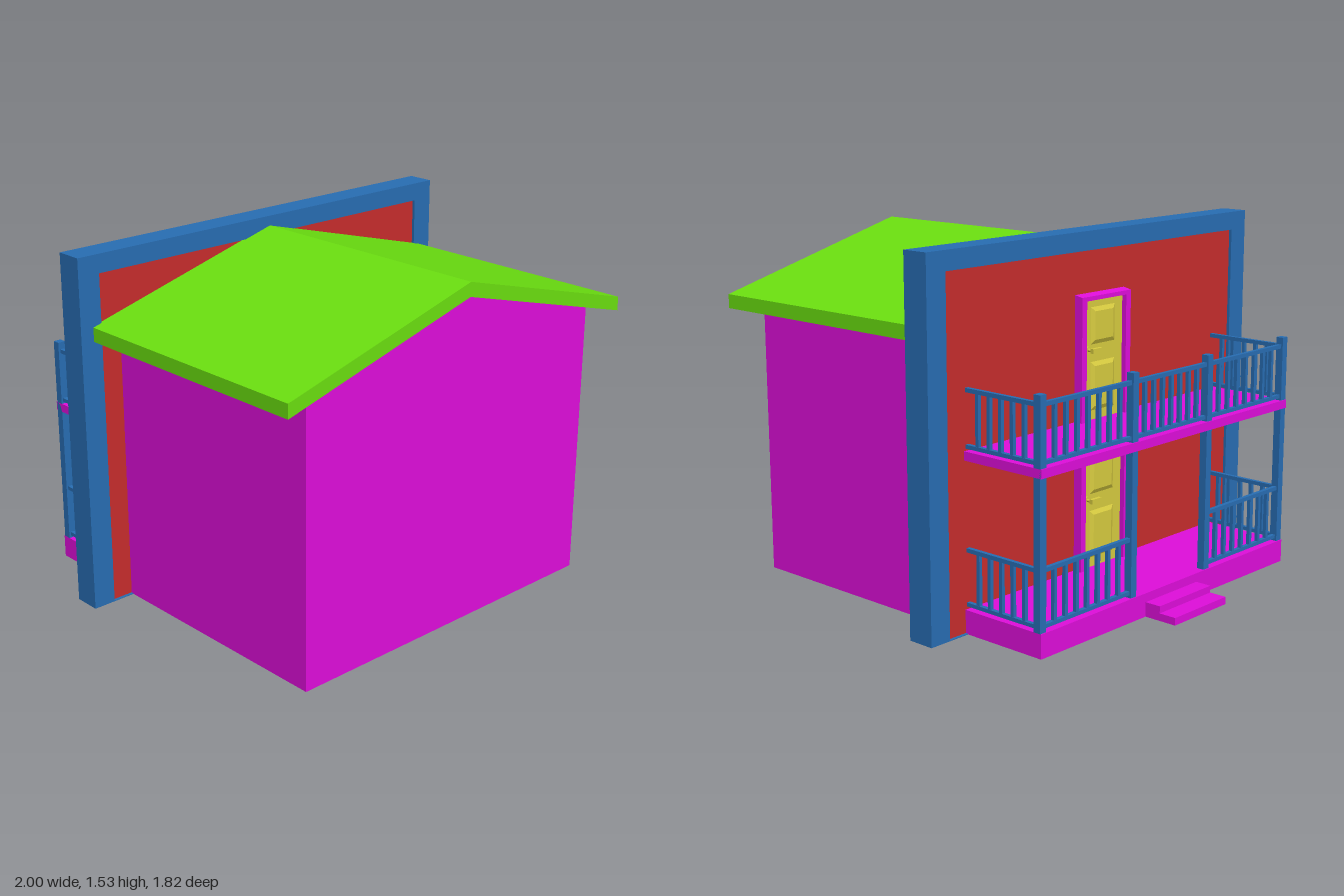
import * as THREE from 'three';

const mat = (color) => new THREE.MeshStandardMaterial({ color, flatShading: true });
const MAGENTA = mat(0xe00edc), BLUE = mat(0x286eb4), RED = mat(0xc82d2d);
const GREEN = mat(0x6be010), YELLOW = mat(0xd8cc40);

// Box given by its minimum and maximum on each axis
function box(parent, name, material, [x0, x1], [y0, y1], [z0, z1]) {
  const mesh = new THREE.Mesh(new THREE.BoxGeometry(x1 - x0, y1 - y0, z1 - z0), material);
  mesh.position.set((x0 + x1) / 2, (y0 + y1) / 2, (z0 + z1) / 2);
  mesh.name = name;
  parent.add(mesh);
  return mesh;
}

// Outline in x, y pushed from z0 to z1
function prism(parent, name, material, points, z0, z1) {
  const shape = new THREE.Shape(points.map(([x, y]) => new THREE.Vector2(x, y)));
  const geometry = new THREE.ExtrudeGeometry(shape, { depth: z1 - z0, bevelEnabled: false });
  const mesh = new THREE.Mesh(geometry, material);
  mesh.position.z = z0;
  mesh.name = name;
  parent.add(mesh);
  return mesh;
}

// Straight railing run between two points on the floor, with evenly spaced balusters
function railing(parent, name, a, b, floor, count) {
  const run = new THREE.Group();
  run.name = name;
  const dx = b[0] - a[0], dz = b[1] - a[1], length = Math.hypot(dx, dz);
  const half = length / 2;
  box(run, 'bottomRail', BLUE, [-half, half], [0.012, 0.028], [-0.009, 0.009]);
  box(run, 'topRail', BLUE, [-half, half], [0.235, 0.252], [-0.009, 0.009]);
  for (let i = 1; i <= count; i++) {
    const x = -half + length * i / (count + 1);
    box(run, 'baluster', BLUE, [x - 0.008, x + 0.008], [0.028, 0.235], [-0.008, 0.008]);
  }
  run.position.set((a[0] + b[0]) / 2, floor, (a[1] + b[1]) / 2);
  run.rotation.y = -Math.atan2(dz, dx);
  parent.add(run);
}

// Raised door panel with sloping edges, facing -z
function doorPanel(parent, y0, y1) {
  const w = 0.155, h = y1 - y0;
  const geometry = new THREE.BoxGeometry(w, h, 0.01);
  const p = geometry.attributes.position;
  for (let i = 0; i < p.count; i++) {
    if (p.getZ(i) < 0) {
      p.setX(i, p.getX(i) * (w - 0.04) / w);
      p.setY(i, p.getY(i) * (h - 0.04) / h);
    }
  }
  geometry.computeVertexNormals();
  const mesh = new THREE.Mesh(geometry, YELLOW);
  mesh.position.set(0, (y0 + y1) / 2, -0.379);
  mesh.name = 'doorPanel';
  parent.add(mesh);
}

// Door with casing, panels and lever handle
function door(parent, floor) {
  const unit = new THREE.Group();
  unit.name = 'door';
  unit.position.y = floor;
  box(unit, 'doorLeaf', YELLOW, [-0.13, 0.13], [0, 0.515], [-0.375, -0.345]);
  doorPanel(unit, 0.04, 0.25);
  doorPanel(unit, 0.32, 0.48);
  for (const s of [-1, 1]) {
    const [a, b] = [s * 0.125, s * 0.155].sort((m, n) => m - n);
    box(unit, 'doorJamb', MAGENTA, [a, b], [0, 0.515], [-0.397, -0.345]);
  }
  const head = box(unit, 'doorHead', MAGENTA, [-0.155, 0.155], [0.51, 0.538], [-0.397, -0.345]);
  // Chamfer the upper outer edge of the head
  const p = head.geometry.attributes.position;
  for (let i = 0; i < p.count; i++) {
    if (p.getZ(i) < 0 && p.getY(i) > 0) p.setY(i, p.getY(i) - 0.01);
  }
  head.geometry.computeVertexNormals();

  const rose = new THREE.Mesh(new THREE.CylinderGeometry(0.015, 0.015, 0.012, 16), YELLOW);
  rose.rotation.x = Math.PI / 2;
  rose.position.set(0.1, 0.303, -0.379);
  rose.name = 'handleRose';
  const stem = new THREE.Mesh(new THREE.CylinderGeometry(0.007, 0.007, 0.04, 12), YELLOW);
  stem.rotation.x = Math.PI / 2;
  stem.position.set(0.1, 0.303, -0.393);
  stem.name = 'handleStem';
  unit.add(rose, stem);
  box(unit, 'handleLever', YELLOW, [0.052, 0.11], [0.293, 0.313], [-0.42, -0.404]);
  parent.add(unit);
}

export function createModel() {
  const model = new THREE.Group();
  model.name = 'house';

  // Main body and roof
  prism(model, 'houseBody', MAGENTA,
    [[-0.8, 0], [0.8, 0], [0.8, 1.218], [0, 1.433], [-0.8, 1.218]], -0.27, 0.85);
  prism(model, 'roof', GREEN,
    [[-0.94, 1.178], [0, 1.432], [0.94, 1.178], [0.94, 1.238], [0, 1.492], [-0.94, 1.238]], -0.26, 0.91);

  // Rear wall in its frame
  box(model, 'rearWall', RED, [-0.9, 0.9], [0.003, 1.455], [-0.357, -0.263]);
  prism(model, 'wallFrame', BLUE,
    [[-1, 0], [-0.9, 0], [-0.9, 1.455], [0.9, 1.455], [0.9, 0], [1, 0], [1, 1.535], [-1, 1.535]], -0.37, -0.25);
  box(model, 'frameSill', BLUE, [-0.9, 0.9], [0, 0.003], [-0.37, -0.25]);

  // Porch, steps and balcony floor
  box(model, 'porchFloor', MAGENTA, [-0.8, 0.8], [0, 0.1], [-0.76, -0.355]);
  box(model, 'upperStep', MAGENTA, [-0.17, 0.17], [0, 0.062], [-0.833, -0.76]);
  box(model, 'lowerStep', MAGENTA, [-0.17, 0.17], [0, 0.032], [-0.912, -0.833]);
  box(model, 'balconyFloor', MAGENTA, [-0.8, 0.8], [0.708, 0.745], [-0.76, -0.355]);

  // Posts through both storeys
  const posts = [-0.783, -0.243, 0.243, 0.783];
  for (const x of posts) {
    box(model, 'post', BLUE, [x - 0.017, x + 0.017], [0.1, 1.025], [-0.755, -0.721]);
  }

  // Railings and doors on each floor; the porch stays open at the steps
  for (const floor of [0.1, 0.742]) {
    for (let i = 0; i < 3; i++) {
      if (floor < 0.5 && i === 1) continue;
      railing(model, 'rearRailing', [posts[i] + 0.017, -0.738], [posts[i + 1] - 0.017, -0.738], floor, 7);
    }
    for (const x of [posts[0], posts[3]]) {
      railing(model, 'sideRailing', [x, -0.357], [x, -0.721], floor, 5);
    }
    door(model, floor);
  }
  return model;
}
